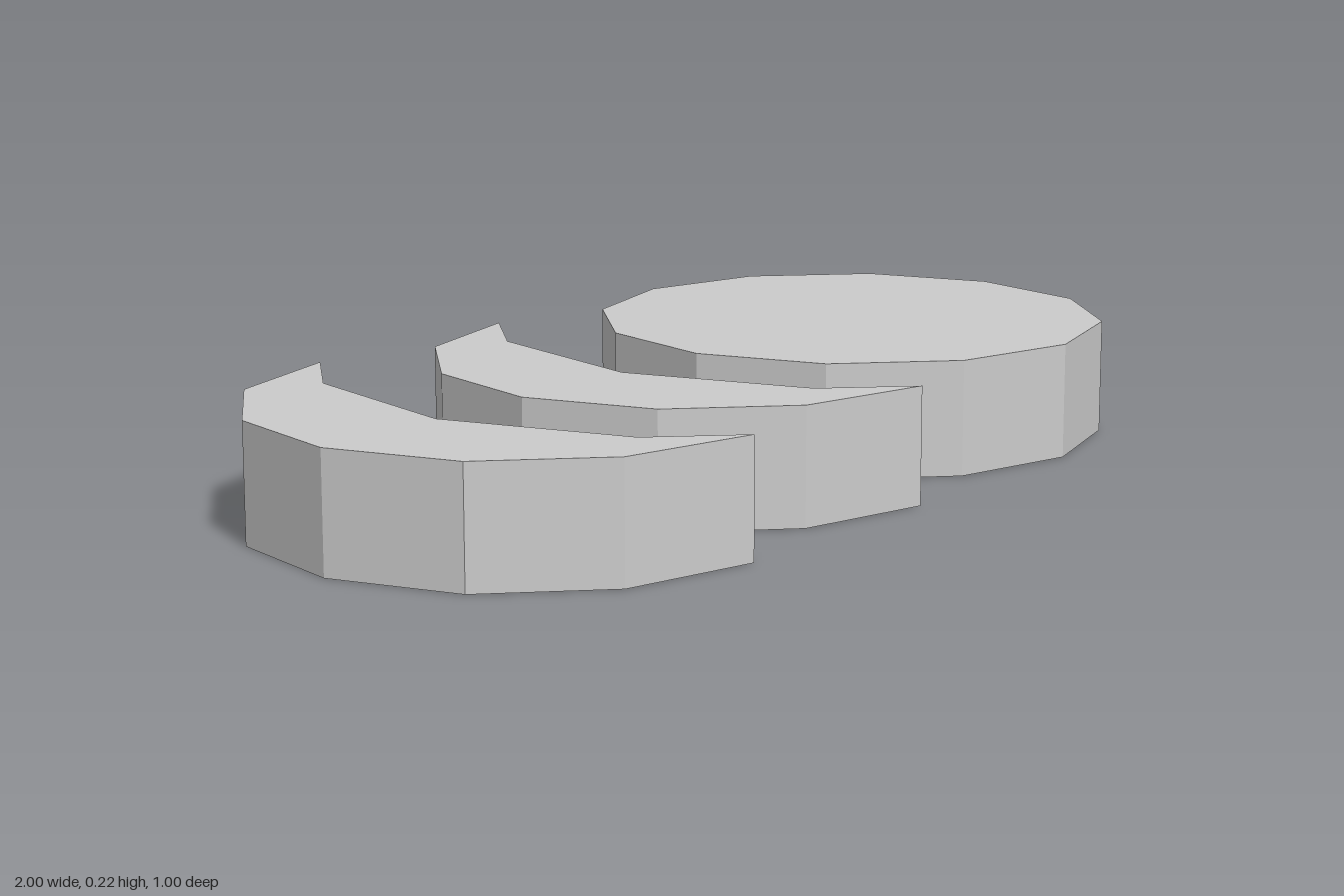
import * as THREE from 'three';

const HEIGHT = 0.22;
const RADIUS = 0.5;

export function createModel() {
  const group = new THREE.Group();
  const material = new THREE.MeshStandardMaterial({ color: 0xcccccc, flatShading: true });

  const add = (name, geometry, x, y) => {
    const mesh = new THREE.Mesh(geometry, material);
    mesh.name = name;
    mesh.position.set(x, y, 0);
    group.add(mesh);
  };

  // Twelve-sided disc
  add('disc', new THREE.CylinderGeometry(RADIUS, RADIUS, HEIGHT, 12), 0.5, HEIGHT / 2);

  // Crescent: left half of the twelve-sided outline, with a shallow inner edge
  const outline = [new THREE.Vector2(0.01, RADIUS)];
  for (let i = 4; i <= 8; i++) {
    const a = (i * Math.PI) / 6;
    outline.push(new THREE.Vector2(RADIUS * Math.cos(a), RADIUS * Math.sin(a)));
  }
  outline.push(
    new THREE.Vector2(0.01, -RADIUS),
    new THREE.Vector2(-0.125, -0.36),
    new THREE.Vector2(-0.223, 0),
    new THREE.Vector2(-0.125, 0.36)
  );
  const crescent = new THREE.ExtrudeGeometry(new THREE.Shape(outline), {
    depth: HEIGHT,
    bevelEnabled: false
  });
  crescent.rotateX(-Math.PI / 2);

  // Two equal crescents in a row beside the disc
  add('middleCrescent', crescent, 0, 0);
  add('outerCrescent', crescent, -0.5, 0);

  return group;
}
